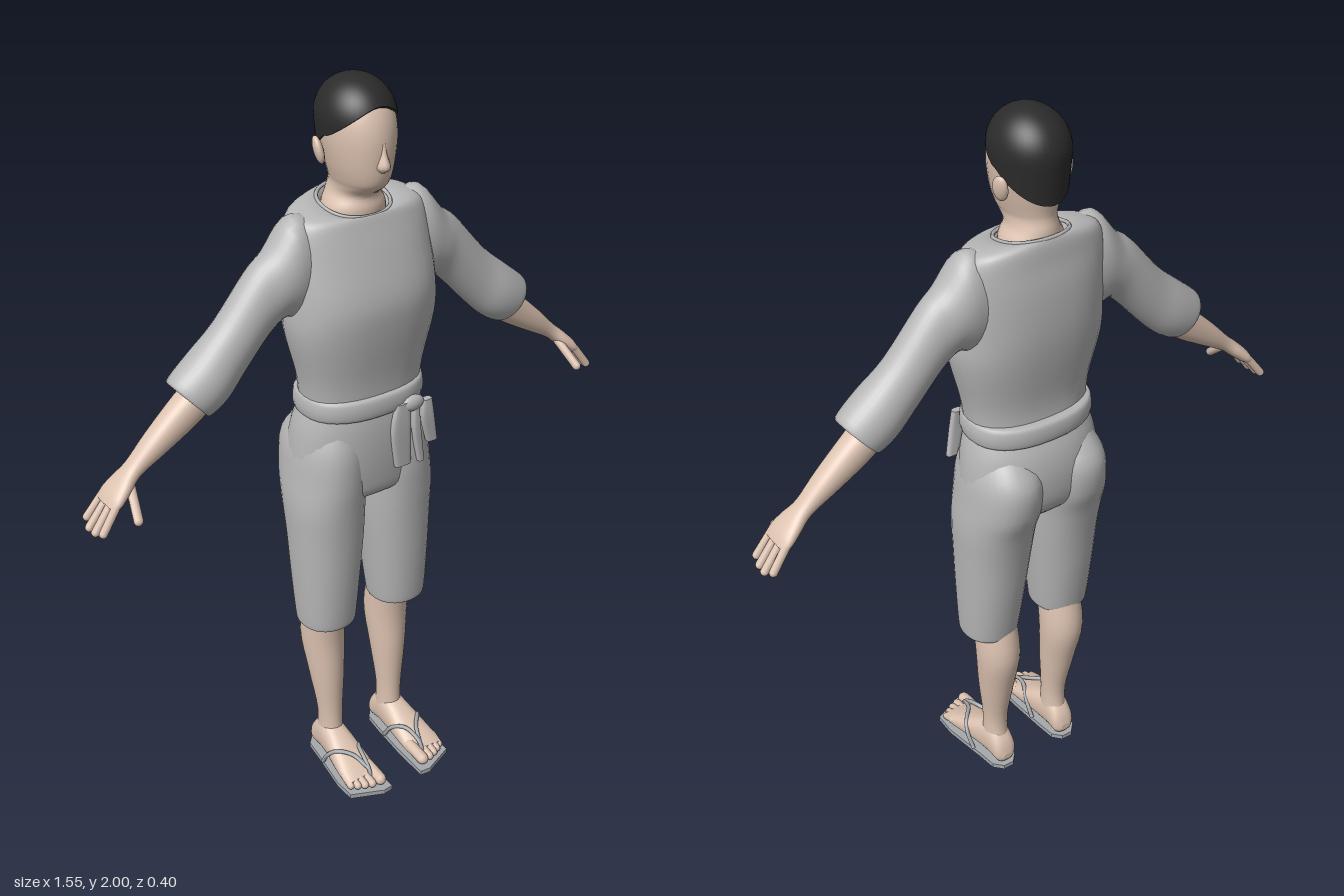
import * as THREE from 'three';

const V = (x, y, z) => new THREE.Vector3(x, y, z);
const mat = (name, color) => {
  const m = new THREE.MeshStandardMaterial({ color });
  m.name = name;
  return m;
};

// Catmull-Rom resampling of rows of numbers
function smooth(rows, k = 4) {
  const out = [];
  for (let i = 0; i < rows.length - 1; i++) {
    const a = rows[Math.max(i - 1, 0)], b = rows[i], c = rows[i + 1], d = rows[Math.min(i + 2, rows.length - 1)];
    for (let s = 0; s < k; s++) {
      const t = s / k;
      out.push(b.map((_, j) => {
        const cubic = 3 * (b[j] - c[j]) + d[j] - a[j];
        const square = 2 * a[j] - 5 * b[j] + 4 * c[j] - d[j];
        return b[j] + 0.5 * t * (c[j] - a[j] + t * (square + t * cubic));
      }));
    }
  }
  out.push(rows[rows.length - 1]);
  return out;
}

// Closed superellipse ring around c with half axes u and v
function ring(c, u, v, p = 1, n = 32) {
  const pow = (s) => Math.sign(s) * Math.abs(s) ** p;
  return Array.from({ length: n }, (_, i) => {
    const a = (i / n) * Math.PI * 2;
    return c.clone().addScaledVector(u, pow(Math.cos(a))).addScaledVector(v, pow(Math.sin(a)));
  });
}

// Skin over rings with capped ends, turned outward by its signed volume
function loft(rings) {
  const n = rings[0].length, pts = rings.flat(), idx = [];
  for (let r = 0; r < rings.length - 1; r++) {
    for (let i = 0; i < n; i++) {
      const a = r * n + i, b = r * n + (i + 1) % n;
      idx.push(a, b, a + n, b, b + n, a + n);
    }
  }
  [rings[0], rings[rings.length - 1]].forEach((cap, end) => {
    const s = pts.length;
    const mid = cap.reduce((m, p) => m.add(p), V(0, 0, 0)).divideScalar(n);
    pts.push(...cap, mid);
    for (let i = 0; i < n; i++) {
      const a = s + i, b = s + (i + 1) % n;
      idx.push(...(end ? [a, b, s + n] : [b, a, s + n]));
    }
  });
  let volume = 0;
  for (let i = 0; i < idx.length; i += 3) {
    volume += pts[idx[i]].dot(V(0, 0, 0).crossVectors(pts[idx[i + 1]], pts[idx[i + 2]]));
  }
  if (volume < 0) idx.reverse();
  const g = new THREE.BufferGeometry().setFromPoints(pts);
  g.setIndex(idx);
  g.computeVertexNormals();
  return g;
}

// Rows [y, centreX, radiusX, zFront, zBack, frontTilt]
const column = (rows, p) => loft(smooth(rows).map(([y, x, r, f, b, t = 0]) =>
  ring(V(x, y, (f + b) / 2), V(r, 0, 0), V(0, t, (f - b) / 2), p)));
// Rows [topX, topY, bottomX, bottomY, zFront, zBack]
const limb = (rows, p) => loft(smooth(rows).map(([tx, ty, bx, by, f, b]) =>
  ring(V((tx + bx) / 2, (ty + by) / 2, (f + b) / 2), V((tx - bx) / 2, (ty - by) / 2, 0), V(0, 0, (f - b) / 2), p)));
// Rows [z, xMin, xMax, yMin, yMax]
const alongZ = (rows, p) => loft(smooth(rows).map(([z, x0, x1, y0, y1]) =>
  ring(V((x0 + x1) / 2, (y0 + y1) / 2, z), V((x1 - x0) / 2, 0, 0), V(0, (y1 - y0) / 2, 0), p)));

// Rounded digit between two points
function digit(a, b, r) {
  const d = b.clone().sub(a), g = new THREE.CapsuleGeometry(r, d.length(), 5, 10);
  g.applyQuaternion(new THREE.Quaternion().setFromUnitVectors(V(0, 1, 0), d.clone().normalize()));
  return g.translate(...a.clone().add(b).multiplyScalar(0.5).toArray());
}

const tube = (points, r) => new THREE.TubeGeometry(new THREE.CatmullRomCurve3(points), 20, r, 8);

export function createModel() {
  const model = new THREE.Group();
  model.name = 'standingFigure';
  const skin = mat('skin', 0xdcc2b0), cloth = mat('greyCloth', 0xb6b6b6);
  const hair = mat('blackHair', 0x2b2b2b), sandal = mat('sandalGrey', 0xa6a9ad);
  const add = (parent, name, geometry, material) => {
    const m = new THREE.Mesh(geometry, material);
    m.name = name;
    parent.add(m);
    return m;
  };

  // Head and neck
  add(model, 'headAndNeck', column([
    [1.63, 0, 0.08, 0.01, -0.13], [1.68, 0, 0.08, 0.018, -0.135], [1.715, 0, 0.062, 0.015, -0.135],
    [1.74, 0, 0.06, 0.045, -0.13], [1.76, 0, 0.066, 0.06, -0.13], [1.80, 0, 0.077, 0.068, -0.138],
    [1.86, 0, 0.087, 0.07, -0.15], [1.91, 0, 0.086, 0.06, -0.148], [1.95, 0, 0.07, 0.038, -0.13],
    [1.975, 0, 0.045, 0, -0.1]]), skin);
  const noseRows = smooth([[1.865, 0.007, 0.07], [1.835, 0.011, 0.077], [1.805, 0.019, 0.087], [1.79, 0.008, 0.07]]);
  add(model, 'nose', loft(noseRows.map(([y, r, z]) => ring(V(0, y, 0.055), V(r, 0, 0), V(0, 0, z - 0.055), 1, 16))), skin);

  // Hair cap whose lower edge follows the hairline
  const hairRings = [];
  for (let r = 0; r <= 18; r++) {
    hairRings.push(Array.from({ length: 40 }, (_, i) => {
      const a = (i / 40) * Math.PI * 2, s = Math.sin(a);
      const line = 1.865 + (s > 0 ? 0.08 * s ** 1.5 : 0.075 * s);
      const y = 1.9998 - (1.9998 - line) * (r / 18) ** 2;
      const k = y > 1.9 ? Math.sqrt(1 - ((y - 1.9) / 0.1) ** 2) : 1 - 0.8 * (1.9 - y);
      return V(0.094 * k * Math.cos(a), y, -0.048 + 0.112 * k * s);
    }));
  }
  add(model, 'hair', loft(hairRings), hair);

  // Tunic body
  add(model, 'tunic', column([
    [1.16, 0, 0.165, 0.07, -0.145, 0], [1.25, 0, 0.175, 0.075, -0.14, 0], [1.38, 0, 0.205, 0.095, -0.16, 0],
    [1.47, 0, 0.205, 0.098, -0.168, 0], [1.57, 0, 0.2, 0.07, -0.165, 0], [1.64, 0, 0.195, 0.045, -0.155, 0],
    [1.675, 0, 0.175, 0.035, -0.15, -0.008], [1.688, 0, 0.13, 0.03, -0.145, -0.014],
    [1.686, 0, 0.09, 0.024, -0.14, -0.018], [1.67, 0, 0.078, 0.01, -0.13, -0.018]], 0.85), cloth);
  const collar = ring(V(0, 1.687, -0.058), V(0.09, 0, 0), V(0, -0.018, 0.082), 0.9, 24);
  add(model, 'collar', new THREE.TubeGeometry(new THREE.CatmullRomCurve3(collar, true), 48, 0.005, 6, true), cloth);

  // Belt with knot and hanging ends
  add(model, 'belt', column([
    [1.145, 0, 0.162, 0.07, -0.15], [1.15, 0, 0.172, 0.083, -0.163], [1.175, 0, 0.176, 0.087, -0.167],
    [1.2, 0, 0.172, 0.083, -0.163], [1.206, 0, 0.162, 0.07, -0.15]], 0.85), cloth);
  const knot = add(model, 'beltKnot', new THREE.SphereGeometry(1, 16, 12), cloth);
  knot.scale.set(0.035, 0.022, 0.016);
  knot.position.set(0.085, 1.155, 0.08);
  // [topX, bottomX, topY, bottomY, half width]
  [[0.055, 0.058, 1.165, 0.98, 0.03], [0.095, 0.115, 1.15, 0.975, 0.012], [0.13, 0.15, 1.155, 1.025, 0.02]]
    .forEach(([x0, x1, y0, y1, w], i) => add(model, 'beltEnd' + (i + 1), column([
      [y0, x0, w * 0.7, 0.09, 0.07], [y0 * 0.6 + y1 * 0.4, (x0 + x1) / 2 - 0.008, w, 0.092, 0.072],
      [y1, x1, w * 0.8, 0.087, 0.068]], 0.6), cloth));

  // Hips of the trousers
  add(model, 'trouserHips', column([
    [1.165, 0, 0.165, 0.07, -0.145], [1.11, 0, 0.182, 0.077, -0.17], [1.04, 0, 0.192, 0.078, -0.182],
    [0.96, 0, 0.197, 0.072, -0.175], [0.91, 0, 0.19, 0.06, -0.14], [0.88, 0, 0.12, 0.02, -0.09]], 0.9), cloth);

  for (const side of [1, -1]) {
    const half = new THREE.Group();
    half.name = side > 0 ? 'leftSide' : 'rightSide';
    half.scale.x = side;
    model.add(half);

    const ear = add(half, 'ear', new THREE.SphereGeometry(1, 14, 10), skin);
    ear.scale.set(0.012, 0.035, 0.022);
    ear.position.set(0.092, 1.825, -0.068);
    ear.rotation.set(-0.2, 0.3, -0.15);

    // Sleeve, rolled in at the cuff
    add(half, 'sleeve', limb([
      [0.13, 1.675, 0.12, 1.42, 0.01, -0.12], [0.19, 1.685, 0.185, 1.425, 0.022, -0.125],
      [0.25, 1.615, 0.225, 1.435, 0.018, -0.118], [0.3, 1.575, 0.27, 1.4, 0.01, -0.112],
      [0.395, 1.465, 0.34, 1.325, 0.012, -0.112], [0.47, 1.4, 0.395, 1.27, 0.024, -0.118],
      [0.53, 1.348, 0.442, 1.24, 0.018, -0.112], [0.522, 1.332, 0.45, 1.252, 0.004, -0.1]]), cloth);

    // Forearm, palm and fingers
    add(half, 'forearmAndPalm', limb([
      [0.47, 1.34, 0.415, 1.27, -0.005, -0.095], [0.53, 1.29, 0.48, 1.22, -0.01, -0.092],
      [0.6, 1.225, 0.565, 1.17, -0.016, -0.086], [0.655, 1.168, 0.632, 1.132, -0.022, -0.08],
      [0.69, 1.137, 0.667, 1.103, -0.008, -0.09], [0.717, 1.11, 0.695, 1.08, 0, -0.097],
      [0.732, 1.087, 0.714, 1.068, -0.004, -0.094]], 0.9), skin);
    [[-0.085, -0.092, 0.757, 1.032], [-0.06, -0.063, 0.766, 1.02], [-0.036, -0.034, 0.764, 1.02], [-0.012, -0.006, 0.757, 1.028]]
      .forEach(([z0, z1, x, y], i) => add(half, 'finger' + (i + 1), digit(V(0.715, 1.086, z0), V(x, y, z1), 0.011), skin));
    add(half, 'thumb', digit(V(0.665, 1.118, -0.03), V(0.683, 1.06, 0.036), 0.012), skin);

    // Trouser leg with its cuff turned in
    add(half, 'trouserLeg', column([
      [1.12, 0.095, 0.06, 0.05, -0.14], [1.05, 0.098, 0.09, 0.072, -0.196], [0.96, 0.102, 0.1, 0.076, -0.195],
      [0.88, 0.107, 0.103, 0.072, -0.168], [0.78, 0.108, 0.099, 0.066, -0.148], [0.65, 0.112, 0.09, 0.06, -0.132],
      [0.53, 0.115, 0.081, 0.052, -0.115], [0.5, 0.115, 0.076, 0.046, -0.108], [0.505, 0.112, 0.062, 0.03, -0.095]], 0.92), cloth);

    add(half, 'shin', column([
      [0.56, 0.107, 0.058, 0.02, -0.1], [0.43, 0.107, 0.06, 0.003, -0.13], [0.3, 0.105, 0.049, 0.004, -0.105],
      [0.16, 0.102, 0.034, 0, -0.077], [0.07, 0.102, 0.035, 0.005, -0.085]]), skin);

    // Foot and toes
    add(half, 'foot', alongZ([
      [-0.105, 0.088, 0.118, 0.03, 0.05], [-0.09, 0.07, 0.135, 0.013, 0.09], [-0.05, 0.067, 0.14, 0.013, 0.128],
      [0, 0.063, 0.146, 0.013, 0.115], [0.06, 0.058, 0.157, 0.013, 0.085], [0.12, 0.057, 0.164, 0.014, 0.055],
      [0.145, 0.062, 0.16, 0.018, 0.042]], 0.85), skin);
    [[0.074, 0.172, 0.017], [0.1, 0.17, 0.012], [0.12, 0.163, 0.0115], [0.138, 0.154, 0.011], [0.154, 0.143, 0.0105]]
      .forEach(([x, z, r], i) => add(half, 'toe' + (i + 1), digit(V(x, 0.04, 0.11), V(x, 0.016 + r, z), r), skin));

    // Sandal sole and thong strap
    const sole = new THREE.Shape([[0.05, -0.197], [0.08, -0.2], [0.168, -0.162], [0.17, -0.1], [0.15, 0.03], [0.143, 0.085],
      [0.12, 0.11], [0.088, 0.11], [0.066, 0.085], [0.06, 0.03], [0.052, -0.08]].map(([x, y]) => new THREE.Vector2(x, y)));
    add(half, 'sandalSole', new THREE.ExtrudeGeometry(sole, { depth: 0.014, bevelEnabled: false }).rotateX(-Math.PI / 2), sandal);
    add(half, 'innerStrap', tube([V(0.089, 0.02, 0.155), V(0.09, 0.06, 0.135), V(0.08, 0.079, 0.08),
      V(0.061, 0.062, 0.04), V(0.059, 0.012, 0.005)], 0.006), sandal);
    add(half, 'outerStrap', tube([V(0.09, 0.055, 0.14), V(0.11, 0.079, 0.09), V(0.14, 0.082, 0.055),
      V(0.155, 0.06, 0.03), V(0.153, 0.012, 0)], 0.006), sandal);
  }
  return model;
}
